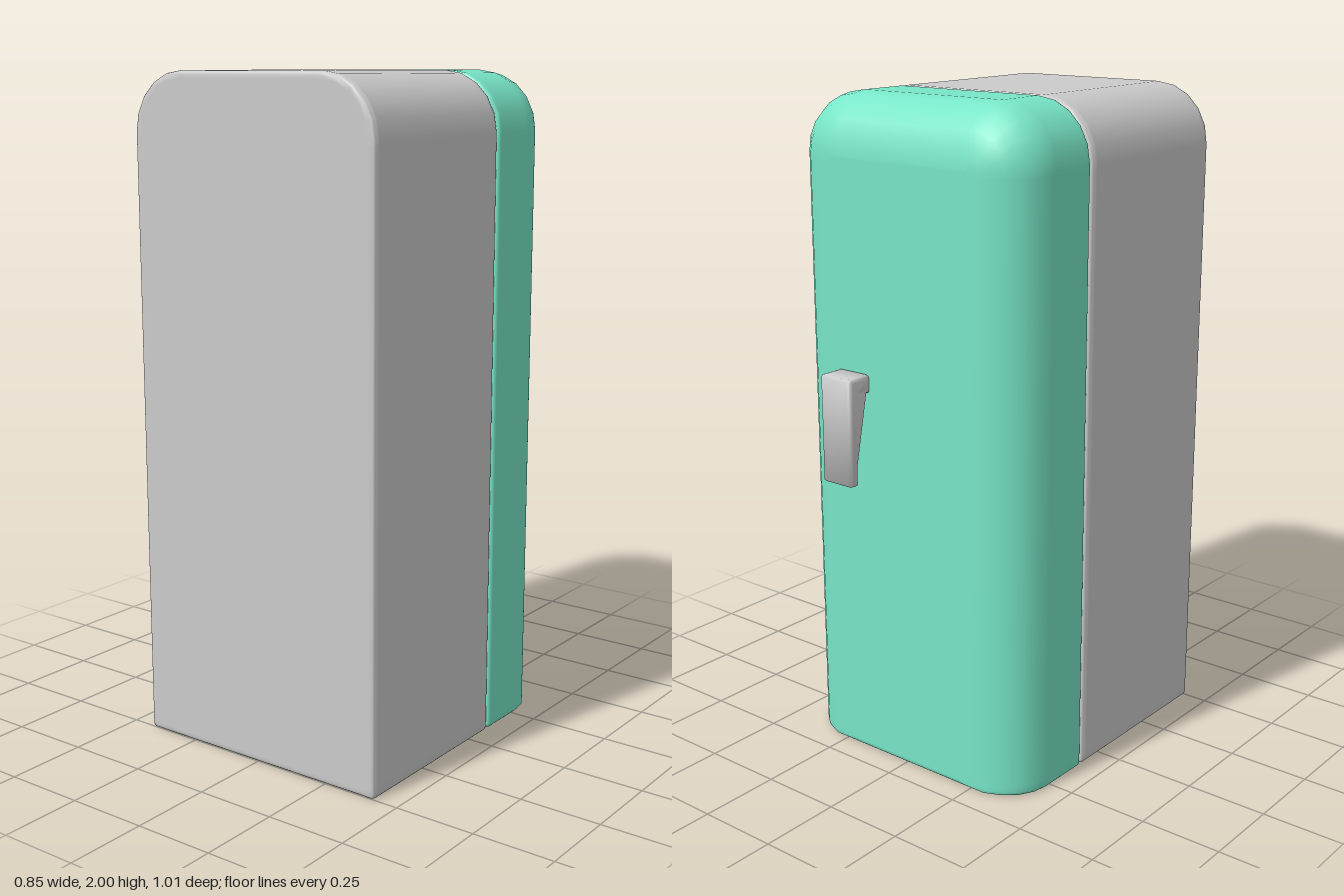
import * as THREE from 'three';
import { toCreasedNormals } from 'three/addons/utils/BufferGeometryUtils.js';

const W = 0.425, H = 2, R = 0.175, B = 0.012;

// Arched outline, inset by d on the sides and top and by b at the bottom, counter-clockwise
function outline(d, b) {
  const w = W - d, top = H - d, r = Math.max(R - d, 0.002);
  const half = [];
  half.push([w - B - 0.02, b]);
  for (let i = 0; i <= 3; i++) {
    const a = (i / 3 - 1) * Math.PI / 2;
    half.push([w - B + B * Math.cos(a), b + B + B * Math.sin(a)]);
  }
  half.push([w, b + B + 0.02], [w, top - r - 0.015]);
  for (let i = 0; i <= 5; i++) {
    const a = i / 5 * Math.PI / 2;
    half.push([w - r + r * Math.cos(a), top - r + r * Math.sin(a)]);
  }
  half.push([w - r - 0.015, top]);
  return [...half, ...half.map(([x, y]) => [-x, y]).reverse()];
}

// Skin sections [z, inset, bottomInset], ordered from +z to -z, closed with flat caps
function loft(sections) {
  const pos = [], index = [];
  let n = 0;
  for (const [z, d, b] of sections) {
    const pts = outline(d, b);
    n = pts.length;
    for (const [x, y] of pts) pos.push(x, y, z);
  }
  const last = (sections.length - 1) * n;
  const front = pos.length / 3, back = front + 1;
  pos.push(0, 1, sections[0][0], 0, 1, sections[sections.length - 1][0]);
  for (let i = 0; i < n; i++) {
    const j = (i + 1) % n;
    for (let s = 0; s < last; s += n) {
      index.push(s + i, s + n + i, s + n + j, s + i, s + n + j, s + j);
    }
    index.push(front, i, j, back, last + j, last + i);
  }
  const g = new THREE.BufferGeometry();
  g.setAttribute('position', new THREE.Float32BufferAttribute(pos, 3));
  g.setIndex(index);
  return toCreasedNormals(g, 0.9);
}

// Small rounded rim running from a flat cap at z to the full outline; dir points inward
function rim(z, dir) {
  const list = [[z, B + 0.01, B + 0.01]];
  for (let i = 0; i <= 3; i++) {
    const a = i / 3 * Math.PI / 2;
    const d = B * (1 - Math.sin(a));
    list.push([z + dir * B * (1 - Math.cos(a)), d, d]);
  }
  list.push([z + dir * (B + 0.01), 0, 0]);
  return list;
}

export function createModel() {
  const group = new THREE.Group();
  const grey = new THREE.MeshStandardMaterial({ color: 0xcccccc });
  const green = new THREE.MeshStandardMaterial({ color: 0x78e6c8 });
  const add = (name, geometry, material) => {
    const mesh = new THREE.Mesh(geometry, material);
    mesh.name = name;
    group.add(mesh);
  };

  // Cabinet
  add('cabinet', loft([...rim(0.505, -1), ...rim(-0.094, 1).reverse()]), grey);

  // Door: rounded over at the sides and top, straight at the bottom
  const door = [...rim(-0.1, -1), [-0.255, 0, 0]];
  for (let i = 0; i <= 5; i++) {
    const a = i / 5 * Math.PI / 2;
    door.push([-0.27 - 0.15 * Math.sin(a), 0.17 * (1 - Math.cos(a)), i === 5 ? 0.006 : 0]);
  }
  door.push([-0.42, 0.18, 0.016]);
  add('door', loft(door), green);

  // Handle: L-shaped side profile with softened edges
  const profile = new THREE.Shape([
    [0.418, 1.16], [0.422, 1.155], [0.468, 1.155], [0.475, 1.148], [0.475, 0.889],
    [0.479, 0.885], [0.501, 0.885], [0.505, 0.889], [0.505, 1.203], [0.498, 1.21],
    [0.425, 1.21], [0.418, 1.203],
  ].map(([x, y]) => new THREE.Vector2(x, y)));
  const bevel = 0.012;
  const handle = new THREE.ExtrudeGeometry(profile, {
    depth: 0.12 - 2 * bevel, bevelEnabled: true, bevelSize: bevel,
    bevelThickness: bevel, bevelOffset: -bevel, bevelSegments: 3,
  });
  handle.rotateY(Math.PI / 2);
  handle.translate(0.115 + bevel, 0, 0);
  add('handle', toCreasedNormals(handle, 0.9), grey);

  return group;
}
